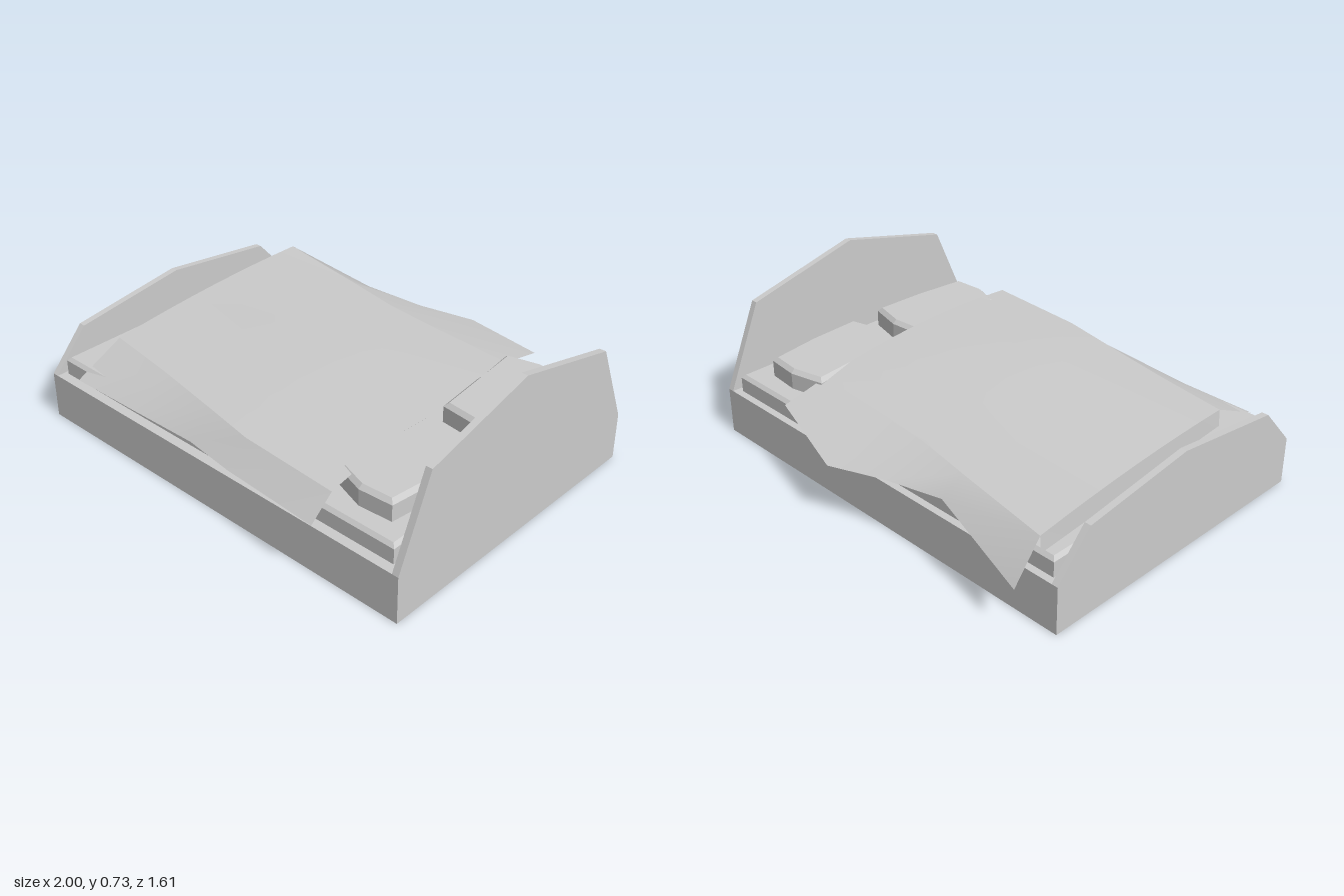
import * as THREE from 'three';

const material = new THREE.MeshStandardMaterial({ color: 0xcccccc });
const clothMaterial = new THREE.MeshStandardMaterial({ color: 0xcccccc, side: THREE.DoubleSide });

// Flat slab with bevelled edges, from an outline of [x, z] points
function slab(name, outline, y0, y1, bevel) {
  const shape = new THREE.Shape(outline.map(([x, z]) => new THREE.Vector2(x, -z)));
  const geo = new THREE.ExtrudeGeometry(shape, {
    depth: y1 - y0 - 2 * bevel, bevelEnabled: true, bevelSegments: 1,
    bevelSize: bevel, bevelThickness: bevel, bevelOffset: -bevel,
  });
  geo.rotateX(-Math.PI / 2).translate(0, y0 + bevel, 0);
  const mesh = new THREE.Mesh(geo, material);
  mesh.name = name;
  return mesh;
}

// End board: symmetric gabled panel standing across the bed
function endBoard(name, x, shoulder, peak) {
  const points = [[-0.672, 0], [0.744, 0], [0.744, 0.215], [0.577, shoulder],
    [0.036, peak], [-0.505, shoulder], [-0.672, 0.215]];
  const shape = new THREE.Shape(points.map(([z, y]) => new THREE.Vector2(-z, y)));
  const geo = new THREE.ExtrudeGeometry(shape, { depth: 0.03, bevelEnabled: false });
  geo.rotateY(Math.PI / 2).translate(x, 0, 0);
  const mesh = new THREE.Mesh(geo, material);
  mesh.name = name;
  return mesh;
}

// Cloth patch through rows of points (rows run along x, points along z)
function cloth(name, rows) {
  const n = rows[0].length, index = [];
  for (let i = 0; i < rows.length - 1; i++) {
    for (let j = 0; j < n - 1; j++) {
      const a = i * n + j, b = a + 1, c = a + n, d = c + 1;
      index.push(a, b, c, b, d, c);
    }
  }
  const geo = new THREE.BufferGeometry();
  geo.setAttribute('position', new THREE.Float32BufferAttribute(rows.flat(2), 3));
  geo.setIndex(index);
  geo.computeVertexNormals();
  const mesh = new THREE.Mesh(geo, clothMaterial);
  mesh.name = name;
  return mesh;
}

function createBlanket() {
  const group = new THREE.Group();
  group.name = 'blanket';
  // x back, x front, back hem z/y, back crease z, front crease z, front hem z/y, top y
  const stations = [
    [-0.89, -0.81, -0.78, 0.205, -0.65, 0.51, 0.745, 0.262, 0.39],
    [-0.41, -0.45, -0.68, 0.31, -0.57, 0.56, 0.74, 0.265, 0.402],
    [-0.13, -0.10, -0.73, 0.29, -0.52, 0.62, 0.735, 0.27, 0.412],
    [0.12, 0.15, -0.81, 0.275, -0.50, 0.665, 0.77, 0.275, 0.416],
    [0.55, 0.63, -0.69, 0.325, -0.475, 0.69, 0.80, 0.28, 0.41],
  ];
  const steps = 8;
  const top = stations.map(([xb, xf, , , zb, zf, , , yTop]) => {
    const row = [];
    for (let j = 0; j <= steps; j++) {
      const s = j / steps, u = 2 * s - 1;
      row.push([xb + (xf - xb) * s, 0.373 + (yTop - 0.373) * (1 - u * u), zb + (zf - zb) * s]);
    }
    return row;
  });
  const back = stations.map((p, i) => [[p[0], p[3], p[2]], top[i][0]]);
  const front = stations.map((p, i) => [top[i][steps], [p[1], p[7], p[6]]]);
  // Short drop over the foot end
  const hem = top[0].map(([x, , z]) => [x - 0.005, 0.295, z]);
  group.add(cloth('blanketTop', top), cloth('blanketBackFlap', back),
    cloth('blanketFrontFlap', front), cloth('blanketFootDrop', [hem, top[0]]));
  return group;
}

export function createModel() {
  const bed = new THREE.Group();
  bed.name = 'bed';

  // Base between the two end boards
  const base = new THREE.Mesh(new THREE.BoxGeometry(1.94, 0.215, 1.416), material);
  base.name = 'bedBase';
  base.position.set(0, 0.1075, 0.036);
  bed.add(base);
  bed.add(endBoard('headboard', 0.97, 0.597, 0.73));
  bed.add(endBoard('footboard', -1, 0.40, 0.47));

  // Mattress
  bed.add(slab('mattress', [[-0.95, 0.70], [0.94, 0.70], [0.94, -0.64], [-0.95, -0.64]],
    0.19, 0.298, 0.015));

  // Pillows, slightly askew
  bed.add(slab('backPillow', [[0.52, -0.515], [0.57, -0.03], [0.73, -0.012], [0.872, -0.05],
    [0.862, -0.3], [0.83, -0.54], [0.68, -0.553]].map(([x, z]) => [x, z]), 0.28, 0.39, 0.018));
  bed.add(slab('frontPillow', [[0.575, 0.085], [0.55, 0.565], [0.69, 0.612], [0.845, 0.602],
    [0.875, 0.35], [0.885, 0.11], [0.73, 0.072]], 0.28, 0.39, 0.018));

  bed.add(createBlanket());
  return bed;
}
